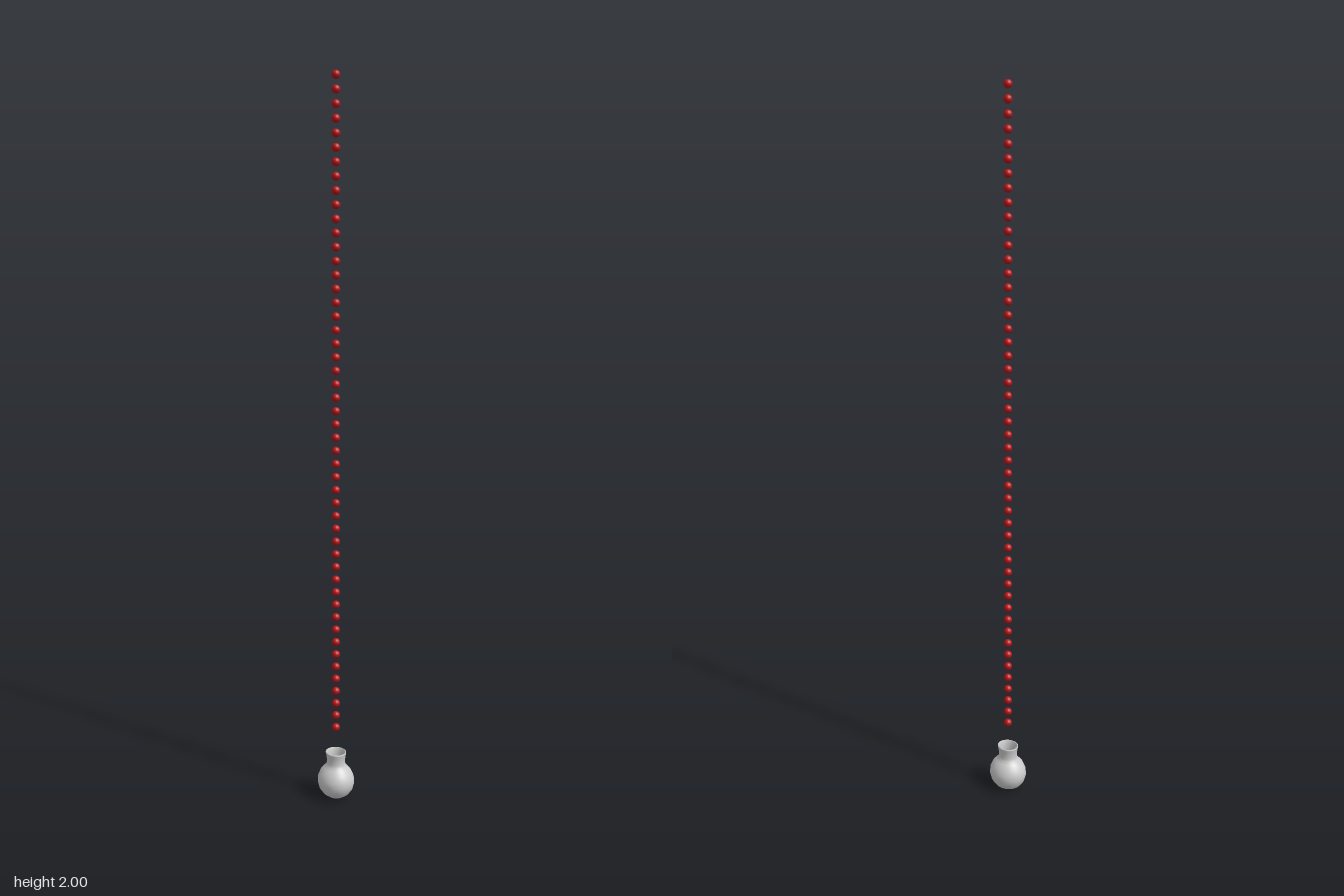
import * as THREE from 'three';

export function createModel() {
  const model = new THREE.Group();
  const grey = new THREE.MeshStandardMaterial({ color: 0xcccccc, side: THREE.DoubleSide });
  const red = new THREE.MeshStandardMaterial({ color: 0xb3141a });

  // Hollow round vase: outside from the foot to the lip, then back down the inside
  const outer = [
    [0.012, 0], [0.022, 0.004], [0.036, 0.014], [0.0465, 0.029], [0.051, 0.047],
    [0.0495, 0.063], [0.043, 0.079], [0.034, 0.09], [0.0275, 0.097], [0.0255, 0.105],
    [0.0255, 0.116], [0.027, 0.127], [0.0285, 0.134],
  ];
  const lip = [[0.0285, 0.1365], [0.027, 0.1375], [0.0255, 0.1365]];
  const inner = [
    [0.0235, 0.127], [0.0225, 0.116], [0.0225, 0.105], [0.0245, 0.096], [0.032, 0.086],
    [0.04, 0.076], [0.046, 0.062], [0.047, 0.047], [0.043, 0.03], [0.033, 0.016], [0.019, 0.007],
  ];
  const profile = [[0, 0], ...outer, ...lip, ...inner, [0, 0.005]];
  const vase = new THREE.Mesh(
    new THREE.LatheGeometry(profile.map(([r, y]) => new THREE.Vector2(r, y)), 48), grey);
  vase.name = 'vase';
  vase.scale.z = 1.11; // slightly oval from above
  model.add(vase);

  // Vertical string of separate beads above the mouth
  const beads = new THREE.Group();
  beads.name = 'beadColumn';
  const count = 50, radius = 0.0115, low = 0.211, high = 2 - radius;
  const beadGeometry = new THREE.SphereGeometry(radius, 24, 16);
  for (let i = 0; i < count; i++) {
    const bead = new THREE.Mesh(beadGeometry, red);
    bead.name = 'bead';
    bead.position.y = low + (high - low) * i / (count - 1);
    beads.add(bead);
  }
  model.add(beads);
  return model;
}
